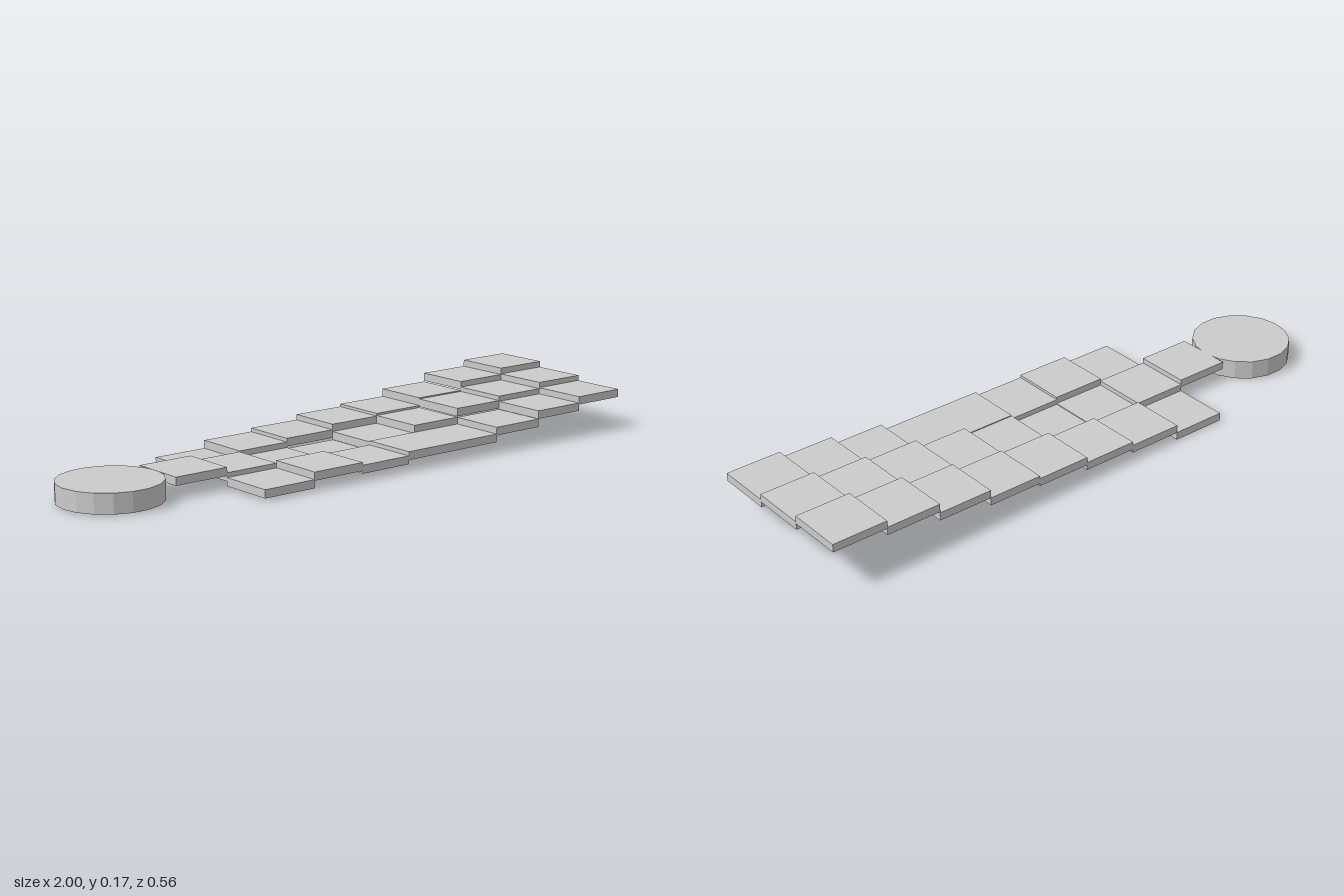
import * as THREE from 'three';

export function createModel() {
  const model = new THREE.Group();
  const material = new THREE.MeshStandardMaterial({ color: 0xcccccc, flatShading: true });
  const pitch = 0.1863, thick = 0.0265;

  // Square slabs: underside height of each, from the disc end (-x) to the raised end (+x)
  const rows = [
    { name: 'backSlab', z: -0.185, first: 1, y: [0.002, 0.028, 0.04, 0.058, 0.067, 0.093, 0.123, 0.145] },
    { name: 'middleSlab', z: 0, first: 0, y: [0.042, 0.025, 0.01, 0.007, 0.034, 0.06, 0.089, 0.104, 0.125] },
    { name: 'frontSlab', z: 0.184, first: 1, y: [0.01, 0.033, 0.024, 0.037, 0.037, 0.059, 0.086, 0.107] },
  ];
  const slab = new THREE.BoxGeometry(0.187, thick, 0.186);
  for (const row of rows) {
    row.y.forEach((y, i) => {
      const mesh = new THREE.Mesh(slab, material);
      mesh.name = row.name + (i + 1);
      mesh.position.set(-0.584 + (row.first + i) * pitch, y + thick / 2, row.z);
      model.add(mesh);
    });
  }

  // Thick round slab at the low end
  const disc = new THREE.Mesh(new THREE.CylinderGeometry(0.163, 0.163, 0.063, 18), material);
  disc.name = 'roundSlab';
  disc.rotation.y = Math.PI / 2;
  disc.position.set(-0.837, 0.0365, -0.013);
  model.add(disc);

  return model;
}
